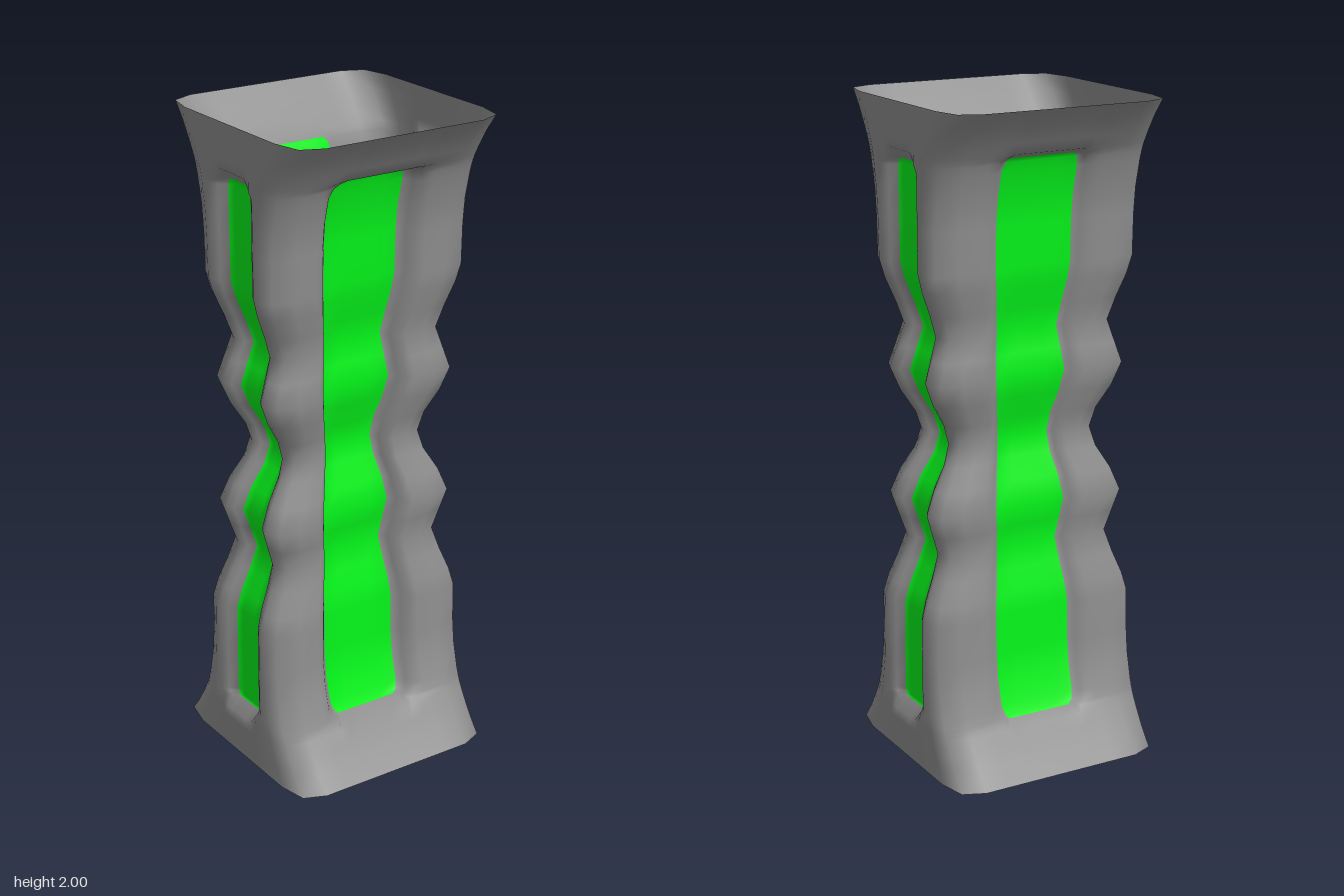
import * as THREE from 'three';

// Lower half of the profile: height, half width, half depth, panel depth (0..1), panel width factor
const HALF = [
  [0, 0.348, 0.35, 0, 0.85], [0.05, 0.348, 0.307, 0, 0.85], [0.1, 0.348, 0.272, 0, 0.85],
  [0.135, 0.348, 0.25, 0, 0.88], [0.15, 0.348, 0.242, 1, 0.84], [0.162, 0.348, 0.237, 1, 0.94],
  [0.19, 0.348, 0.227, 1, 1], [0.27, 0.348, 0.206, 1, 1], [0.35, 0.348, 0.197, 1, 1],
  [0.475, 0.347, 0.195, 1, 1], [0.53, 0.332, 0.187, 1, 1], [0.6, 0.304, 0.171, 1, 1],
  [0.67, 0.281, 0.157, 1, 1], [0.735, 0.302, 0.169, 1, 1], [0.8, 0.323, 0.181, 1, 1],
  [0.87, 0.295, 0.166, 1, 1], [0.94, 0.253, 0.142, 1, 1], [1, 0.235, 0.132, 1, 1],
];
const END_ROW = 4; // row where the panels begin

// Columns across half a face: position as a fraction of the half width, recess amount
const WIDE = [[0, 1], [0.18, 1], [0.355, 1], [0.41, 0.6], [0.46, 0.25], [0.53, 0.08], [0.75, 0]];
const NARROW = [[0, 1], [0.16, 1], [0.33, 1], [0.44, 0.4], [0.56, 0.06], [0.67, 0]];
const mirror = (c) => [...c.slice(1).reverse().map(([u, r]) => [-u, r]), ...c];

// Faces in order: front, left, back, right
const FACES = [
  { cols: mirror(WIDE), depth: 0.065 },
  { cols: mirror(NARROW), depth: 0.035 },
  { cols: mirror(WIDE), depth: 0.03 },
  { cols: mirror(NARROW), depth: 0.035 },
];

// One closed cross-section of the tube
function section([y, hx, hz, recess, widthK], row, upper) {
  const pts = [];
  const height = (h) => (upper ? 2 - h : h);
  // side panels end a little shorter than the wide ones
  const sideShift = row === END_ROW || row === END_ROW + 1 ? 0.018 : 0;
  FACES.forEach(({ cols, depth }, f) => {
    const side = f % 2 === 1;
    const sign = f < 2 ? 1 : -1;
    for (const [u, r] of cols) {
      const inPanel = Math.abs(u) < (side ? 0.6 : 0.5);
      const half = side ? (inPanel ? Math.min(hz, 0.197) : hz) : hx;
      const along = u * half * (inPanel ? widthK : 1);
      const out = (side ? hx : hz) - depth * r * recess;
      const py = height(y + (side && inPanel ? sideShift : 0));
      pts.push(side ? [sign * out, py, -sign * along] : [sign * along, py, sign * out]);
    }
    // bevelled corner after each face
    const cx = f < 2 ? 0.945 : -0.945;
    const cz = f === 0 || f === 3 ? 0.92 : -0.92;
    pts.push([cx * hx, height(y), cz * hz]);
  });
  return pts;
}

export function createModel() {
  const group = new THREE.Group();
  group.name = 'wavyColumn';

  const rows = HALF.map((p, i) => section(p, i, false));
  for (let i = HALF.length - 2; i >= 0; i--) rows.push(section(HALF[i], i, true));

  // Mark the columns that belong to the coloured panels
  const panelCol = [];
  FACES.forEach(({ cols }) => {
    cols.forEach(([, r], i) => panelCol.push(r === 1 && cols[i + 1][1] === 1));
    panelCol.push(false);
  });

  // Stitch the sections, sorting quads into shell and panels
  const n = rows[0].length;
  const shell = [];
  const panels = [];
  for (let j = 0; j < rows.length - 1; j++) {
    const inRows = j >= END_ROW && j < rows.length - 1 - END_ROW;
    for (let i = 0; i < n; i++) {
      const a = j * n + i;
      const b = j * n + ((i + 1) % n);
      (inRows && panelCol[i] ? panels : shell).push(a, b, b + n, a, b + n, a + n);
    }
  }

  // Normals are shared so shading runs smoothly across the colour border
  const base = new THREE.BufferGeometry();
  base.setAttribute('position', new THREE.Float32BufferAttribute(rows.flat(2), 3));
  base.setIndex([...shell, ...panels]);
  base.computeVertexNormals();

  const add = (name, index, color) => {
    const geometry = base.clone();
    geometry.setIndex(index);
    const mesh = new THREE.Mesh(
      geometry,
      new THREE.MeshStandardMaterial({ color, side: THREE.DoubleSide }),
    );
    mesh.name = name;
    group.add(mesh);
  };
  add('columnShell', shell, 0x8e8e8e);
  add('recessedPanels', panels, 0x04f41a);
  return group;
}
